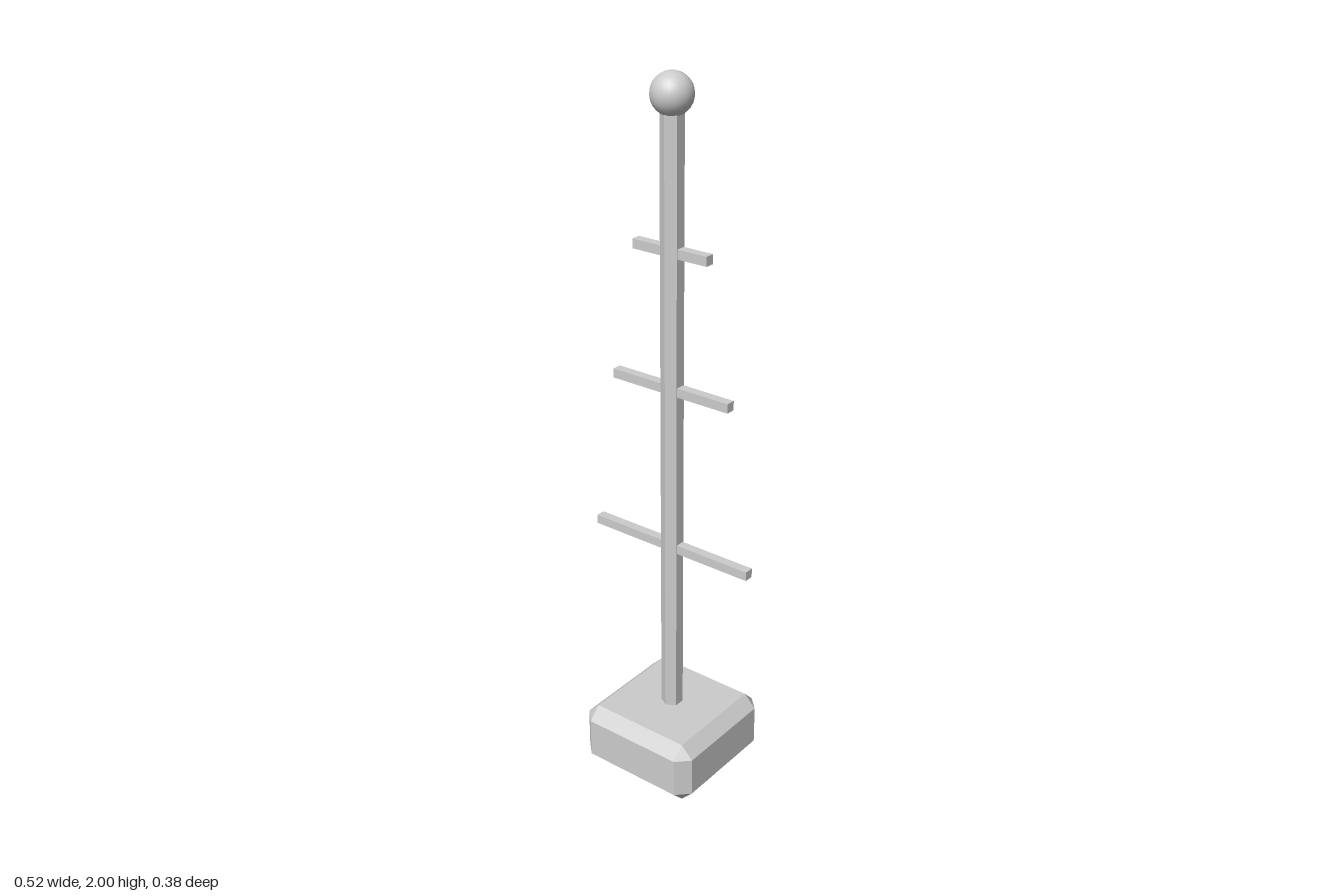
import * as THREE from 'three';
import { ConvexGeometry } from 'three/addons/geometries/ConvexGeometry.js';

// Box with every edge chamfered flat
function chamferedBox(w, h, d, c) {
  const x = w / 2, y = h / 2, z = d / 2, points = [];
  for (const sx of [-1, 1]) for (const sy of [-1, 1]) for (const sz of [-1, 1]) {
    points.push(
      new THREE.Vector3(sx * x, sy * (y - c), sz * (z - c)),
      new THREE.Vector3(sx * (x - c), sy * y, sz * (z - c)),
      new THREE.Vector3(sx * (x - c), sy * (y - c), sz * z)
    );
  }
  return new ConvexGeometry(points);
}

export function createModel() {
  const model = new THREE.Group();
  model.name = 'peggedStand';

  const grey = new THREE.MeshStandardMaterial({ color: 0xcccccc });
  grey.name = 'grey';
  const flatGrey = grey.clone();
  flatGrey.name = 'greyFaceted';
  flatGrey.flatShading = true;

  function add(name, geometry, material, y) {
    const mesh = new THREE.Mesh(geometry, material);
    mesh.name = name;
    mesh.position.y = y;
    model.add(mesh);
  }

  // Heavy chamfered foot
  add('base', chamferedBox(0.376, 0.188, 0.376, 0.036), flatGrey, 0.094);

  // Hexagonal pole with corners facing front and back
  const bottom = 0.18, top = 1.92;
  add('pole', new THREE.CylinderGeometry(0.031, 0.031, top - bottom, 6), flatGrey, (bottom + top) / 2);

  // Crossbars, shorter towards the top
  const bars = [['lowerBar', 0.707, 0.516], ['middleBar', 1.177, 0.376], ['upperBar', 1.553, 0.234]];
  for (const [name, y, length] of bars) {
    add(name, new THREE.BoxGeometry(length, 0.026, 0.027), flatGrey, y);
  }

  // Round finial
  add('finial', new THREE.SphereGeometry(0.055, 24, 16), grey, 1.945);

  return model;
}
